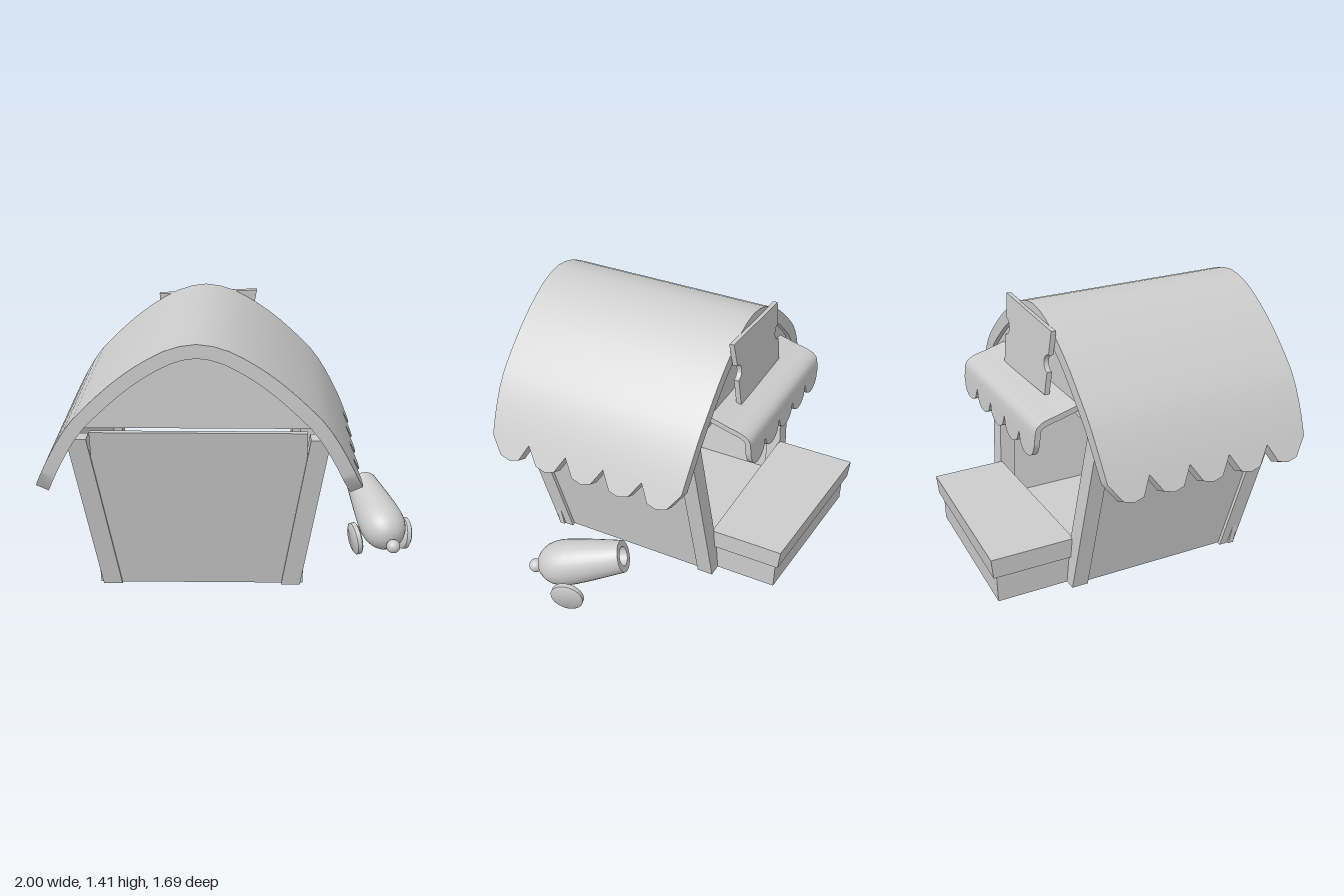
import * as THREE from 'three';
import { toCreasedNormals } from 'three/addons/utils/BufferGeometryUtils.js';

const material = new THREE.MeshStandardMaterial({ color: 0xcccccc });
const V3 = (x, y, z) => new THREE.Vector3(x, y, z);
const lerp = THREE.MathUtils.lerp;

function add(parent, name, geometry) {
  const mesh = new THREE.Mesh(geometry, material);
  mesh.name = name;
  parent.add(mesh);
  return mesh;
}

// Box whose corners are placed by a rule; u, v, w run 0..1 along x, y, z
function block(parent, name, rule) {
  const g = new THREE.BoxGeometry(1, 1, 1);
  const p = g.attributes.position;
  for (let i = 0; i < p.count; i++) {
    p.setXYZ(i, ...rule(p.getX(i) + 0.5, p.getY(i) + 0.5, p.getZ(i) + 0.5));
  }
  g.computeVertexNormals();
  return add(parent, name, g);
}

// Smooth 2D profile, sampled by arc length and offset inwards
function profile(points) {
  const curve = new THREE.CatmullRomCurve3(points.map(([x, y]) => V3(x, y, 0)));
  return (t, inset) => {
    const p = curve.getPointAt(t), d = curve.getTangentAt(t);
    return [p.x + d.y * inset, p.y - d.x * inset];
  };
}

// Closed sheet with thickness; at(i, j, k) gives the outer (k = 0) or inner (k = 1) point
function sheet(nu, nv, at) {
  const pos = [], idx = [];
  const id = (i, j, k) => (k * (nu + 1) + i) * (nv + 1) + j;
  const quad = (a, b, c, d) => idx.push(a, b, c, a, c, d);
  for (let k = 0; k < 2; k++)
    for (let i = 0; i <= nu; i++)
      for (let j = 0; j <= nv; j++) pos.push(...at(i, j, k));
  for (let i = 0; i < nu; i++)
    for (let j = 0; j < nv; j++) {
      quad(id(i, j, 0), id(i + 1, j, 0), id(i + 1, j + 1, 0), id(i, j + 1, 0));
      quad(id(i, j, 1), id(i, j + 1, 1), id(i + 1, j + 1, 1), id(i + 1, j, 1));
    }
  const rim = (a, b) => quad(id(...b, 0), id(...a, 0), id(...a, 1), id(...b, 1));
  for (let i = 0; i < nu; i++) {
    rim([i, 0], [i + 1, 0]);
    rim([i + 1, nv], [i, nv]);
  }
  for (let j = 0; j < nv; j++) {
    rim([nu, j], [nu, j + 1]);
    rim([0, j + 1], [0, j]);
  }
  const g = new THREE.BufferGeometry();
  g.setAttribute('position', new THREE.Float32BufferAttribute(pos, 3));
  g.setIndex(idx);
  return toCreasedNormals(g, 0.6);
}

// Depth of the cut between round lobes, 1 in the valleys and 0 at the tips
function scallop(j, perLobe) {
  const q = (2 * (j % perLobe)) / perLobe - 1;
  return 1 - Math.sqrt(1 - q * q);
}

// Leaning outer faces of the house
const halfWidth = y => 0.525 + 0.145 * y;
const frontZ = y => 0.6 + 0.2 * y;
const backZ = y => -0.41 + 0.08 * y;

function buildHouse() {
  const house = new THREE.Group();
  house.name = 'house';

  // Corner posts
  for (const sx of [-1, 1]) {
    for (const front of [true, false]) {
      block(house, front ? 'frontPost' : 'backPost', (u, v, w) => {
        const y = 0.9 * v, h = halfWidth(y);
        const x = sx > 0 ? lerp(h - 0.1, h, u) : lerp(-h, -h + 0.1, u);
        return [x, y, front ? frontZ(y) - 0.09 * (1 - w) : backZ(y) + 0.09 * w];
      });
    }
    // Side walls, set back from the posts
    block(house, 'sideWall', (u, v, w) => {
      const y = 0.005 + 0.9 * v, h = halfWidth(y) - 0.02;
      const x = sx > 0 ? h - 0.03 * (1 - u) : -h + 0.03 * u;
      return [x, y, lerp(backZ(y) + 0.02, frontZ(y) - 0.02, w)];
    });
  }
  block(house, 'frontWall', (u, v, w) => {
    const y = 0.005 + 0.93 * v, h = 0.54;
    return [lerp(-h, h, u), y, frontZ(y) - 0.012 - 0.03 * (1 - w)];
  });
  block(house, 'floor', (u, v, w) => [lerp(-0.505, 0.505, u), 0.01 + 0.03 * v, lerp(-0.39, 0.58, w)]);

  // Arched roof with scalloped eaves
  const half = [[0.13, 1.385], [0.26, 1.32], [0.39, 1.23], [0.52, 1.115], [0.63, 1.0], [0.74, 0.82], [0.83, 0.627]];
  const arch = profile([...half.map(([x, y]) => [-x, y]).reverse(), [0, 1.41], ...half]);
  const nu = 28, nv = 20, cut = 0.048;
  add(house, 'roof', sheet(nu, nv, (i, j, k) => {
    const d = cut * scallop(j, 4);
    const t = i === 0 ? d : i === nu ? 1 - d : lerp(cut + 0.01, 0.99 - cut, (i - 1) / (nu - 2));
    const [x, y] = arch(t, 0.07 * k);
    const drop = Math.max(0, (Math.abs(2 * t - 1) - 0.5) / 0.5);
    return [x, y, 0.236 + (0.608 - 0.038 * drop * drop) * (1 - (2 * j) / nv)];
  }));

  // Gables filling the arch at both ends
  const outline = [];
  for (let i = 0; i <= 40; i++) {
    const [x, y] = arch(i / 40, 0.055);
    if (y > 0.93) outline.push(new THREE.Vector2(x, y));
  }
  outline.reverse();
  const gable = new THREE.ExtrudeGeometry(new THREE.Shape(outline), { depth: 0.03, bevelEnabled: false });
  add(house, 'frontGable', gable).position.z = 0.748;
  add(house, 'backGable', gable).position.z = -0.345;
  return house;
}

function buildStall() {
  const stall = new THREE.Group();
  stall.name = 'stall';

  // Serving counter: skewed top over a thin-walled base
  const edge = x => lerp(-0.845, -0.79, (x + 0.48) / 0.95);
  block(stall, 'counterTop', (u, v, w) => {
    const x = lerp(-0.48, 0.47, u);
    return [x, 0.16 + 0.11 * v, w ? -0.38 : edge(x) + 0.012 * (1 - v)];
  });
  block(stall, 'counterFront', (u, v, w) => {
    const x = lerp(-0.46, 0.45, u);
    return [x, 0.16 * v, edge(x) + 0.04 - 0.006 * v + 0.02 * w];
  });
  for (const x0 of [-0.46, 0.43]) {
    block(stall, 'counterSide', (u, v, w) => {
      const x = x0 + 0.02 * u;
      return [x, 0.16 * v, w ? -0.385 : edge(x) + 0.042 - 0.006 * v];
    });
  }
  block(stall, 'counterBack', (u, v, w) => [lerp(-0.45, 0.45, u), 0.005 + 0.18 * v, -0.4 + 0.02 * w]);

  // Awning with a scalloped drop
  const drape = profile([[0.335, 1.03], [0.45, 0.997], [0.54, 0.972], [0.575, 0.945], [0.585, 0.89], [0.592, 0.77]]);
  const nu = 16, nv = 50, cut = 0.2;
  add(stall, 'awning', sheet(nu, nv, (i, j, k) => {
    const t = i === nu ? 1 - cut * scallop(j, 10) : ((0.99 - cut) * i) / (nu - 1);
    const [w, y] = drape(t, 0.03 * k);
    return [lerp(0.465, -0.47, j / nv), y, -w];
  }));

  // Leaning signboard with round notches in its sides
  const s = new THREE.Shape();
  s.moveTo(-0.255, 0);
  s.lineTo(0.255, -0.01);
  s.lineTo(0.265, 0.145);
  s.absarc(0.268, 0.19, 0.045, -Math.PI / 2, Math.PI / 2, true);
  s.lineTo(0.29, 0.37);
  s.lineTo(-0.27, 0.345);
  s.lineTo(-0.262, 0.215);
  s.absarc(-0.262, 0.17, 0.045, Math.PI / 2, -Math.PI / 2, true);
  s.closePath();
  const sign = add(stall, 'signboard', new THREE.ExtrudeGeometry(s, { depth: 0.028, bevelEnabled: false, curveSegments: 10 }));
  sign.position.set(0, 1.01, -0.43);
  sign.rotation.x = 0.1;
  return stall;
}

const lathe = points =>
  toCreasedNormals(new THREE.LatheGeometry(points.map(([r, y]) => new THREE.Vector2(r, y)), 32), 0.6);

function buildCannon() {
  const cannon = new THREE.Group();
  cannon.name = 'cannon';
  const up = V3(0, 1, 0);

  // Barrel turned along its own axis, with a bored muzzle and a rear knob
  const barrel = new THREE.Group();
  barrel.name = 'barrel';
  barrel.position.set(0.87, 0.14, 0.42);
  barrel.quaternion.setFromUnitVectors(up, V3(-0.135, 0.16, -0.485).normalize());
  add(barrel, 'barrelBody', lathe([
    [0, 0.03], [0.035, 0.032], [0.065, 0.045], [0.09, 0.068], [0.11, 0.1], [0.122, 0.14], [0.126, 0.18],
    [0.124, 0.23], [0.117, 0.3], [0.107, 0.38], [0.096, 0.46], [0.087, 0.525], [0.052, 0.525], [0.05, 0.42], [0, 0.42],
  ]));
  add(barrel, 'knob', new THREE.SphereGeometry(0.038, 20, 14));
  cannon.add(barrel);

  // Wheels, splayed outwards at the top
  const wheel = lathe([[0, -0.02], [0.078, -0.02], [0.09, -0.012], [0.09, 0.012], [0.078, 0.02], [0, 0.02]]);
  for (const [side, x, z] of [[-1, 0.68, 0.24], [1, 0.96, 0.165]]) {
    const mesh = add(cannon, 'wheel', wheel);
    mesh.position.set(x, 0.096, z);
    mesh.quaternion.setFromUnitVectors(up, V3(side, -0.13, -0.25 * side).normalize());
  }
  return cannon;
}

export function createModel() {
  const model = new THREE.Group();
  model.name = 'marketHut';
  const hut = new THREE.Group();
  hut.name = 'hut';
  hut.position.x = -0.17;
  hut.add(buildHouse(), buildStall());
  model.add(hut, buildCannon());
  return model;
}
